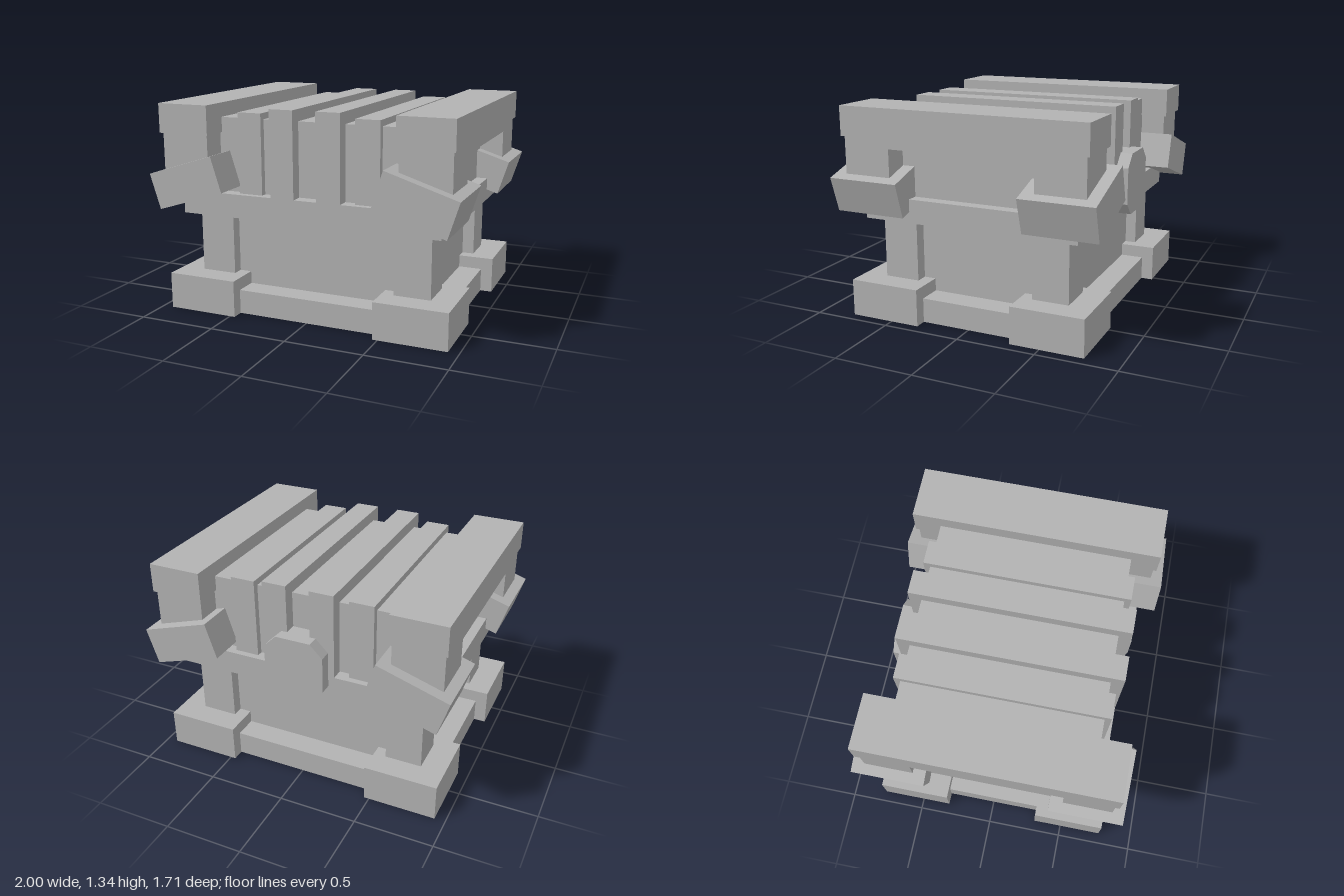
import * as THREE from 'three';

export function createModel() {
  const model = new THREE.Group();
  model.name = 'stonePedestal';
  const stone = new THREE.MeshStandardMaterial({ color: 0xb2b2b2 });
  stone.name = 'stone grey';

  // Box given by its low and high limits on each axis
  const box = (name, [x0, x1], [y0, y1], [z0, z1]) => {
    const mesh = new THREE.Mesh(new THREE.BoxGeometry(x1 - x0, y1 - y0, z1 - z0), stone);
    mesh.position.set((x0 + x1) / 2, (y0 + y1) / 2, (z0 + z1) / 2);
    mesh.name = name;
    model.add(mesh);
    return mesh;
  };
  // Limits mirrored to the side given by s
  const side = (s, a, b) => (s > 0 ? [a, b] : [-b, -a]);

  // Stacked central body
  box('basePlinth', [-0.855, 0.855], [0, 0.155], [-0.7, 0.7]);
  box('core', [-0.7, 0.7], [0.155, 0.63], [-0.55, 0.55]);
  box('upperSlab', [-0.855, 0.855], [0.63, 0.78], [-0.7, 0.7]);
  box('upperBody', [-0.78, 0.78], [0.78, 1.25], [-0.62, 0.62]);

  for (const sx of [1, -1]) {
    // Ridges running front to back over the upper body
    box('innerRidge', side(sx, 0.075, 0.232), [0.78, 1.325], [-0.7, 0.7]);
    box('outerRidge', side(sx, 0.31, 0.467), [0.78, 1.29], [-0.66, 0.66]);

    // Side rail with the narrower beam beneath it
    box('topRail', side(sx, 0.607, 0.95), [1.155, 1.34], [-0.795, 0.795]);
    box('railBeam', side(sx, 0.62, 0.935), [1.095, 1.155], [-0.47, 0.47]);

    for (const sz of [1, -1]) {
      box('footBlock', side(sx, 0.467, 0.932), [0, 0.235], side(sz, 0.312, 0.777));
      box('cornerPillar', side(sx, 0.545, 0.778), [0.235, 0.63], side(sz, 0.39, 0.622));
      box('railPost', side(sx, 0.62, 0.935), [0.85, 1.155], side(sz, 0.47, 0.777));

      // Tilted corner block, sloping down outwards
      const block = box('tiltedBlock', [-0.233, 0.233], [-0.116, 0.116], side(sz, 0.39, 0.853));
      block.position.x = sx * 0.742;
      block.position.y = 0.86;
      block.rotation.z = -sx * 0.305;
    }
  }

  // Octagonal plaque on the back
  const w = 0.193, h = 0.195, c = 0.08;
  const outline = new THREE.Shape([
    [w, -h + c], [w, h - c], [w - c, h], [-w + c, h],
    [-w, h - c], [-w, -h + c], [-w + c, -h], [w - c, -h],
  ].map(([x, y]) => new THREE.Vector2(x, y)));
  const plaque = new THREE.Mesh(
    new THREE.ExtrudeGeometry(outline, { depth: 0.16, bevelEnabled: false }), stone);
  plaque.name = 'backPlaque';
  plaque.position.set(0, 0.827, -0.777);
  model.add(plaque);

  return model;
}
